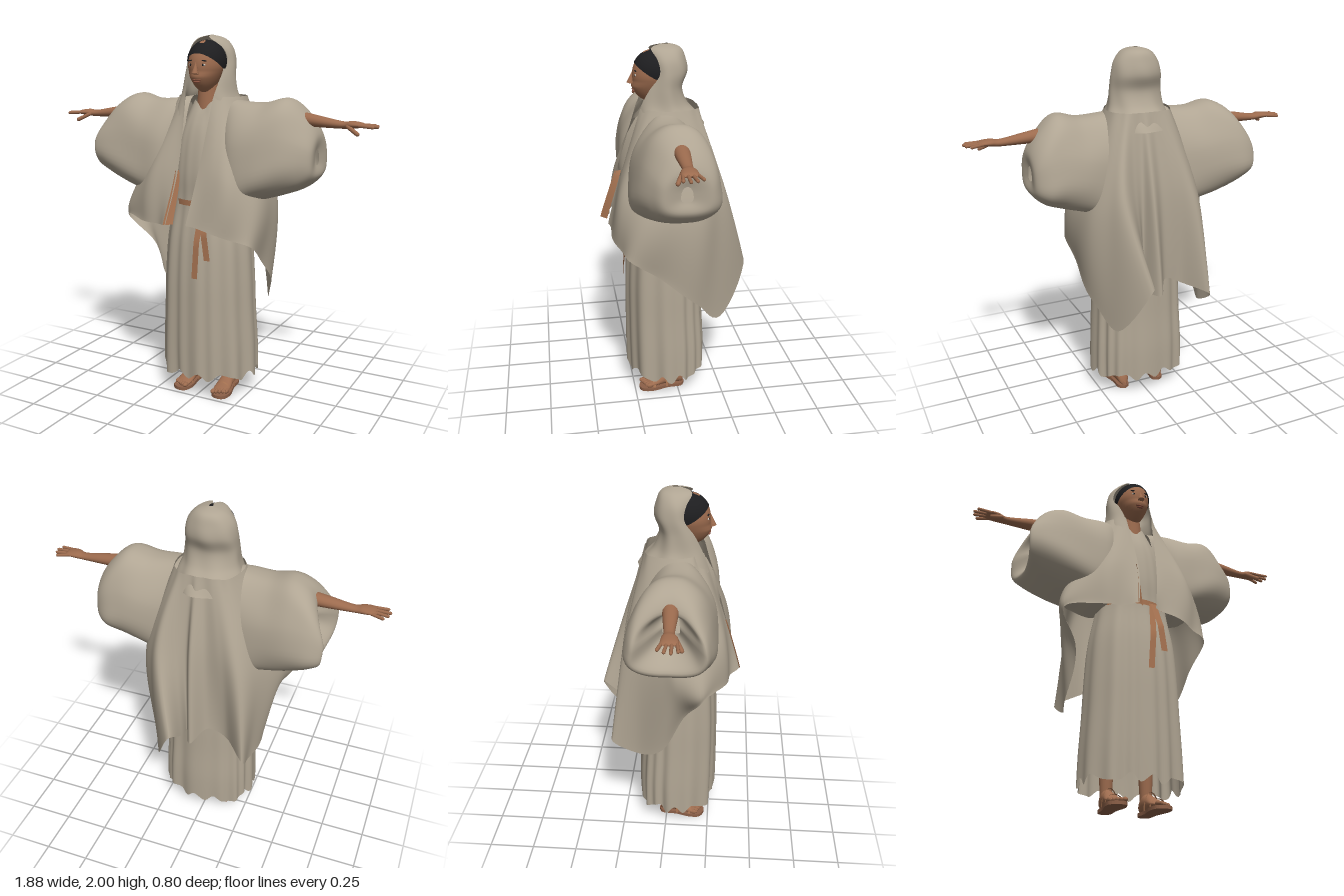
import * as THREE from 'three';
import { mergeVertices } from 'three/addons/utils/BufferGeometryUtils.js';

const { sin, cos, PI, abs, max, min, floor, sign, pow } = Math;
const mat = (name, color) => {
  const m = new THREE.MeshStandardMaterial({ color, side: THREE.DoubleSide });
  m.name = name;
  return m;
};

// Smooth interpolation through rows of numbers, t in 0..1
function sample(rows, t) {
  const n = rows.length - 1, f = min(max(t, 0), 1) * n, i = min(floor(f), n - 1), k = f - i;
  const [a, b, c, d] = [i - 1, i, i + 1, i + 2].map(j => rows[min(max(j, 0), n)]);
  return b.map((q, e) => q + 0.5 * k * (c[e] - a[e] + k * (2 * a[e] - 5 * q + 4 * c[e] - d[e]
    + k * (3 * (q - c[e]) + d[e] - a[e]))));
}

// Smooth sheet from a rule f(u, v) -> [x, y, z]
function sheet(nu, nv, f) {
  const pos = [], idx = [];
  for (let j = 0; j <= nv; j++) for (let i = 0; i <= nu; i++) pos.push(...f(i / nu, j / nv));
  for (let j = 0; j < nv; j++) for (let i = 0; i < nu; i++) {
    const a = j * (nu + 1) + i, b = a + nu + 1;
    idx.push(a, b, a + 1, b, b + 1, a + 1);
  }
  let g = new THREE.BufferGeometry();
  g.setAttribute('position', new THREE.Float32BufferAttribute(pos, 3));
  g.setIndex(idx);
  g = mergeVertices(g, 1e-5);
  g.computeVertexNormals();
  return g;
}
const sp = (v, e) => sign(v) * pow(abs(v), e);

export function createModel() {
  const root = new THREE.Group();
  const cloth = mat('cloth', 0xb0a593), skin = mat('skin', 0x9c6b4e), leather = mat('leather', 0xa87452),
    sole = mat('sole', 0x8c6048), hair = mat('hair', 0x1e1e20), white = mat('eyeWhite', 0xcfc4b8),
    lip = mat('lip', 0x87513f);
  const add = (name, geo, m, parent = root) => {
    const o = new THREE.Mesh(geo, m);
    o.name = name;
    parent.add(o);
    return o;
  };
  const ball = (name, m, x, y, z, a, b, c, parent = root) => {
    const o = add(name, new THREE.SphereGeometry(1, 20, 14), m, parent);
    o.position.set(x, y, z);
    o.scale.set(a, b, c);
    return o;
  };
  const limb = (name, m, a, b, r, parent) => {
    const A = new THREE.Vector3(...a), B = new THREE.Vector3(...b), d = B.clone().sub(A);
    const o = add(name, new THREE.CapsuleGeometry(r, d.length(), 4, 8), m, parent);
    o.position.copy(A).add(B).multiplyScalar(0.5);
    o.quaternion.setFromUnitVectors(new THREE.Vector3(0, 1, 0), d.normalize());
  };

  // Long pleated robe: y, half width, front z, back z, pleat depth
  const robe = [[0.13, 0.272, 0.275, -0.165, 0.016], [0.3, 0.268, 0.278, -0.165, 0.013],
    [0.5, 0.258, 0.278, -0.155, 0.011], [0.7, 0.25, 0.275, -0.15, 0.01], [0.9, 0.235, 0.262, -0.14, 0.009],
    [1.1, 0.2, 0.235, -0.11, 0.006], [1.28, 0.18, 0.235, -0.1, 0.004], [1.47, 0.16, 0.205, -0.09, 0.003],
    [1.66, 0.075, 0.14, 0.0, 0]];
  add('robe', sheet(144, 40, (u, v) => {
    const a = u * 2 * PI, [y, rx, zf, zb, p] = sample(robe, v);
    const k = 1 + p * 3.2 * (0.6 * sin(a * 15 + 2 * sin(a * 3)) + 0.5 * sin(a * 8 + 1));
    const hem = (1 - min(v * 10, 1)) * 0.022 * sin(a * 11 + 2 * sin(a * 4));
    const notch = v > 0.9 ? 0.04 * (v - 0.9) * 10 * pow(max(cos(a), 0), 10) : 0;
    return [rx * k * sp(sin(a), 0.85), y + hem - notch, (zf + zb) / 2 + (zf - zb) / 2 * k * sp(cos(a), 0.85)];
  }), cloth);

  // Belt and its two hanging ends
  add('belt', sheet(48, 2, (u, v) => [0.205 * sin(u * 2 * PI), 1.1 + v * 0.03, 0.063 + 0.183 * cos(u * 2 * PI)]), leather);
  for (const [x0, x1, w, bottom] of [[0.05, 0.022, 0.034, 0.71], [0.06, 0.1, 0.036, 0.82]])
    add('beltEnd', sheet(2, 12, (u, v) => [x0 + (x1 - x0) * v + (u - 0.5) * w, 1.11 + (bottom - 1.11) * v,
      0.25 + 0.042 * min(v * 2, 1)]), leather);

  // Mantle columns, from the front left edge round the back to the front right edge
  const top = [[0.085, 0.19], [0.11, 0.17], [0.14, 0.14], [0.17, 0.08], [0.18, 0.02], [0.17, -0.05], [0.14, -0.09],
    [0.12, -0.11], [0.09, -0.12], [0.05, -0.12], [0.02, -0.125], [-0.02, -0.12], [-0.06, -0.12], [-0.1, -0.11],
    [-0.14, -0.09], [-0.17, -0.02], [-0.18, 0.06], [-0.15, 0.13], [-0.12, 0.15], [-0.1, 0.17], [-0.08, 0.19]]
    .map(([x, z]) => [x, 1.68, z]);
  const mid = [[0.055, 1.3, 0.3], [0.15, 1.3, 0.315], [0.25, 1.25, 0.3], [0.34, 1.2, 0.2], [0.36, 1.15, 0.05],
    [0.33, 1.15, -0.1], [0.26, 1.2, -0.2], [0.19, 1.25, -0.25], [0.11, 1.25, -0.2], [0.06, 1.25, -0.18],
    [0.02, 1.25, -0.23], [-0.05, 1.25, -0.19], [-0.14, 1.25, -0.2], [-0.24, 1.2, -0.22], [-0.32, 1.15, -0.12],
    [-0.38, 1.15, 0], [-0.43, 1.12, 0.08], [-0.41, 1.15, 0.2], [-0.27, 1.25, 0.29], [-0.16, 1.3, 0.31],
    [-0.06, 1.3, 0.31]];
  const low = [[0.015, 1.02, 0.37], [0.12, 1.0, 0.36], [0.25, 0.96, 0.335], [0.345, 0.92, 0.27], [0.345, 0.79, 0.1],
    [0.315, 0.63, -0.08], [0.23, 0.5, -0.23], [0.1, 0.78, -0.4], [0.06, 0.72, -0.27], [0.06, 0.7, -0.2],
    [0.0, 0.7, -0.3], [-0.07, 0.75, -0.2], [-0.18, 0.7, -0.19], [-0.3, 0.65, -0.29], [-0.31, 0.56, -0.15],
    [-0.335, 0.62, 0], [-0.34, 0.85, 0.12], [-0.45, 1.01, 0.22], [-0.27, 1.01, 0.32], [-0.16, 1.01, 0.36],
    [-0.09, 1.02, 0.395]];
  const mantle = (u, v) => {
    const [x, y, z] = sample([sample(top, u), sample(mid, u), sample(low, u)], v);
    const k = 1 + 0.02 * v * sin(u * 75 + v * 3);
    return [x * k, y, z * k];
  };
  add('mantle', sheet(140, 36, mantle), cloth);
  add('mantleTrim', sheet(2, 20, (u, v) => {
    const [x, y, z] = mantle(1, 0.5 + v * 0.5);
    return [x - 0.012 + u * 0.042 * v ** 0.5, y, z + 0.006 - u * 0.035];
  }), leather);

  // Draped sleeves: distance out, top y, bottom y, front z, back z
  const leftRows = [[0.1, 1.68, 1.15, 0.2, -0.12], [0.2, 1.66, 1.09, 0.3, -0.16], [0.33, 1.655, 1.14, 0.31, -0.18],
    [0.46, 1.68, 1.18, 0.28, -0.18], [0.56, 1.6, 1.22, 0.23, -0.17], [0.62, 1.5, 1.28, 0.17, -0.11],
    [0.61, 1.42, 1.34, 0.07, 0.0]];
  const rightRows = [[0.1, 1.68, 1.15, 0.2, -0.12], [0.2, 1.665, 1.09, 0.3, -0.16], [0.33, 1.66, 1.13, 0.31, -0.18],
    [0.46, 1.685, 1.17, 0.3, -0.2], [0.57, 1.64, 1.22, 0.28, -0.2], [0.625, 1.56, 1.27, 0.25, -0.16],
    [0.55, 1.53, 1.34, 0.18, -0.08], [0.43, 1.5, 1.4, 0.1, 0.0]];
  const sleeve = (name, rows, side, open) => add(name, sheet(56, 40, (u, v) => {
    const a = u * 2 * PI, [x, yt, yb, zf, zb] = sample(rows, v), c = cos(a), s = sin(a);
    const fold = 1 + 0.025 * sin(a * 5 + v * 9) * sin(v * PI);
    const lipOut = open * v * v * (0.06 * abs(s) - 0.11 * max(c, 0));
    return [side * (x + lipOut), (yt + yb) / 2 + (yt - yb) / 2 * sp(c, 0.8),
      (zf + zb) / 2 + (zf - zb) / 2 * sp(s, 0.8) * (0.85 - 0.22 * c) * fold];
  }), cloth);
  sleeve('leftSleeve', leftRows, 1, 0);
  sleeve('rightSleeve', rightRows, -1, 1);

  // Hood: y, half width, centre z, front depth, back depth, opening angle
  const hood = [[1.58, 0.2, 0.04, 0.2, 0.2, 0.48], [1.64, 0.175, 0.045, 0.18, 0.17, 0.5],
    [1.7, 0.152, 0.05, 0.16, 0.12, 0.62], [1.78, 0.143, 0.05, 0.13, 0.095, 0.8], [1.86, 0.138, 0.04, 0.1, 0.112, 1.05],
    [1.93, 0.12, 0.04, 0.1, 0.1, 0.95], [1.98, 0.075, 0.035, 0.1, 0.07, 0.5], [2.0, 0.01, 0.035, 0.02, 0.01, 0.1]];
  add('hood', sheet(64, 40, (u, v) => {
    const [y, rx, c, f, b, a0] = sample(hood, v), a = a0 + u * (2 * PI - 2 * a0);
    const k = 1 + 0.03 * sin(a * 7 + v * 8) * (1 - v);
    return [rx * k * sin(a), y, c + k * cos(a) * (cos(a) > 0 ? f : b)];
  }), cloth);

  // Head, hair and face
  const head = new THREE.Group();
  head.name = 'head';
  root.add(head);
  add('neck', new THREE.CylinderGeometry(0.052, 0.068, 0.17, 20).translate(0, 1.665, 0.08), skin, head);
  add('face', sheet(36, 28, (u, v) => {
    const a = u * 2 * PI, y = cos(v * PI), r = sin(v * PI), jaw = y < 0 ? 1 + 0.28 * y : 1;
    const chin = y < -0.3 && cos(a) > 0 ? 1.12 : 1;
    return [0.09 * r * jaw * sin(a), 1.835 + 0.137 * y, 0.11 + 0.11 * r * cos(a) * chin];
  }), skin, head);
  add('hair', sheet(40, 16, (u, v) => {
    const a = u * 2 * PI, t = v * (1.9 - 0.72 * max(cos(a), 0) ** 1.2);
    return [0.101 * sin(t) * sin(a), 1.862 + 0.112 * cos(t), 0.095 + 0.122 * sin(t) * cos(a)];
  }), hair, head);
  const nose = add('nose', new THREE.ConeGeometry(0.019, 0.065, 12), skin, head);
  nose.position.set(0, 1.832, 0.224);
  nose.rotation.x = -0.2;
  ball('noseTip', skin, 0, 1.808, 0.23, 0.017, 0.011, 0.013, head);
  ball('upperLip', lip, 0, 1.768, 0.213, 0.026, 0.006, 0.009, head);
  ball('lowerLip', lip, 0, 1.758, 0.211, 0.021, 0.006, 0.009, head);
  for (const s of [-1, 1]) {
    ball('eye', white, s * 0.036, 1.846, 0.207, 0.014, 0.006, 0.005, head);
    ball('iris', hair, s * 0.036, 1.846, 0.21, 0.006, 0.006, 0.004, head);
    ball('eyebrow', hair, s * 0.037, 1.868, 0.206, 0.02, 0.0035, 0.005, head).rotation.z = -s * 0.1;
  }

  // Arms and hands: x, y, z, half height, half depth
  const armRows = [[0.25, 1.58, 0.04, 0.05, 0.055], [0.5, 1.578, 0.05, 0.038, 0.043], [0.62, 1.568, 0.055, 0.03, 0.036],
    [0.75, 1.556, 0.06, 0.019, 0.026], [0.8, 1.56, 0.065, 0.019, 0.038], [0.85, 1.56, 0.068, 0.013, 0.042],
    [0.87, 1.558, 0.068, 0.003, 0.03]];
  for (const s of [-1, 1]) {
    const arm = new THREE.Group();
    arm.name = s > 0 ? 'leftArm' : 'rightArm';
    root.add(arm);
    add('forearm', sheet(20, 30, (u, v) => {
      const [x, y, z, h, d] = sample(armRows, v);
      return [s * x, y + h * cos(u * 2 * PI), z + d * sin(u * 2 * PI)];
    }), skin, arm);
    [0.905, 0.925, 0.932, 0.917].forEach((tip, i) =>
      limb('finger', skin, [s * 0.845, 1.559, 0.035 + i * 0.022], [s * tip, 1.555, 0.018 + i * 0.031], 0.0085, arm));
    limb('thumb', skin, [s * 0.785, 1.552, 0.09], [s * 0.845, 1.52, 0.122], 0.011, arm);
  }

  // Legs, feet and sandals; foot rows: z, top y, half width
  const footRows = [[-0.035, 0.05, 0.012], [-0.02, 0.085, 0.03], [0.02, 0.115, 0.036], [0.07, 0.095, 0.038],
    [0.13, 0.06, 0.046], [0.17, 0.045, 0.046], [0.19, 0.035, 0.035]];
  const soleShape = new THREE.Shape(new THREE.SplineCurve([[0, 0.045], [0.034, 0.02], [0.036, -0.06], [0.054, -0.15],
    [0.04, -0.21], [0, -0.225], [-0.045, -0.2], [-0.052, -0.14], [-0.036, -0.06], [-0.034, 0.02], [0, 0.045]]
    .map(p => new THREE.Vector2(...p))).getPoints(40));
  for (const s of [-1, 1]) {
    const leg = new THREE.Group();
    leg.name = s > 0 ? 'leftLeg' : 'rightLeg';
    leg.position.x = s * 0.112;
    leg.rotation.y = s * 0.06;
    root.add(leg);
    add('shin', new THREE.CylinderGeometry(0.052, 0.031, 0.42, 18).translate(0, 0.28, 0.008), skin, leg);
    add('foot', sheet(20, 20, (u, v) => {
      const [z, h, w] = sample(footRows, v), a = u * 2 * PI;
      return [w * sin(a), 0.016 + (h - 0.016) * (0.5 + 0.5 * cos(a)), z];
    }), skin, leg);
    for (let i = 0; i < 5; i++)
      ball('toe', skin, s * (-0.034 + i * 0.018), 0.03, 0.2 - i * 0.008, i ? 0.0095 : 0.014, 0.013, 0.02, leg);
    const base = add('sandalSole', new THREE.ExtrudeGeometry(soleShape, { depth: 0.018, bevelEnabled: false }), sole, leg);
    base.rotation.x = -PI / 2;
    for (const [z, h, w] of [[0.135, 0.052, 0.049], [0.06, 0.1, 0.042]])
      add('sandalStrap', sheet(16, 1, (u, v) => [w * cos(u * PI), 0.014 + h * sin(u * PI), z + v * 0.014]), leather, leg);
  }
  return root;
}
